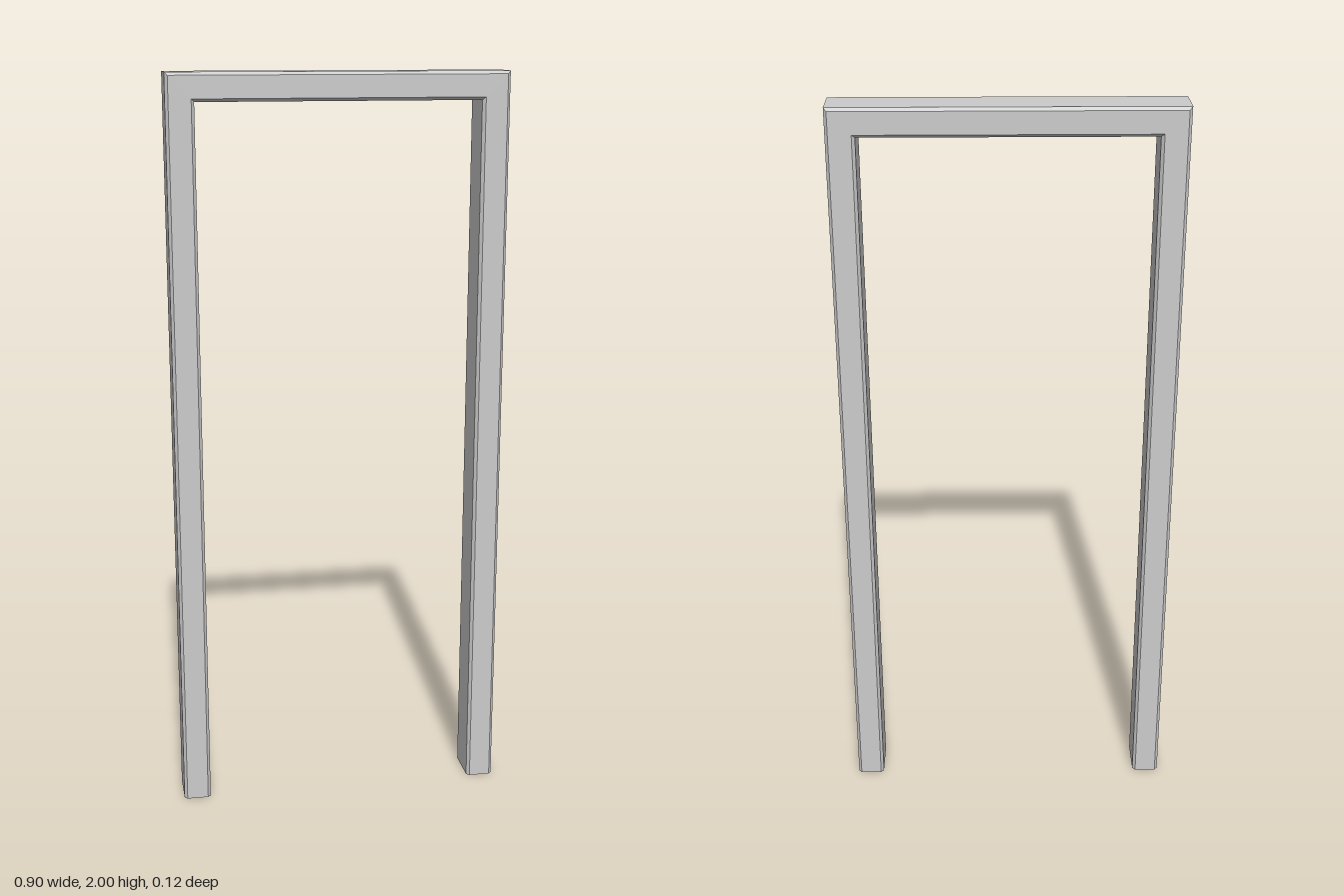
import * as THREE from 'three';

const HALF_WIDTH = 0.448, HEIGHT = 2, BAR = 0.074, HALF_DEPTH = 0.06, BEVEL = 0.008;

// Chamfered bar section: [inset from the outer edge, z]
function barSection() {
  const b = BEVEL, d = HALF_DEPTH;
  return [
    [0, d - b], [0, b - d], [b, -d], [BAR - b, -d],
    [BAR, b - d], [BAR, d - b], [BAR - b, d], [b, d],
  ];
}

// Sweeps the section up one post, across the top and down the other, with mitred corners
function frameGeometry() {
  const rings = [[1, 0], [1, 1], [-1, 1], [-1, 0]].map(([side, top]) =>
    barSection().map(([inset, z]) => [side * (HALF_WIDTH - inset), top * (HEIGHT - inset), z]));
  const positions = [];
  for (let r = 0; r < rings.length - 1; r++) {
    const a = rings[r], b = rings[r + 1];
    for (let i = 0; i < a.length; i++) {
      const j = (i + 1) % a.length;
      positions.push(...a[i], ...a[j], ...b[j], ...a[i], ...b[j], ...b[i]);
    }
  }
  const geometry = new THREE.BufferGeometry();
  geometry.setAttribute('position', new THREE.Float32BufferAttribute(positions, 3));
  geometry.computeVertexNormals();
  return geometry;
}

export function createModel() {
  const group = new THREE.Group();
  group.name = 'doorway';
  // Hollow frame, open at the feet
  const material = new THREE.MeshStandardMaterial({ color: 0xcccccc, side: THREE.DoubleSide });
  const frame = new THREE.Mesh(frameGeometry(), material);
  frame.name = 'doorFrame';
  group.add(frame);
  return group;
}
